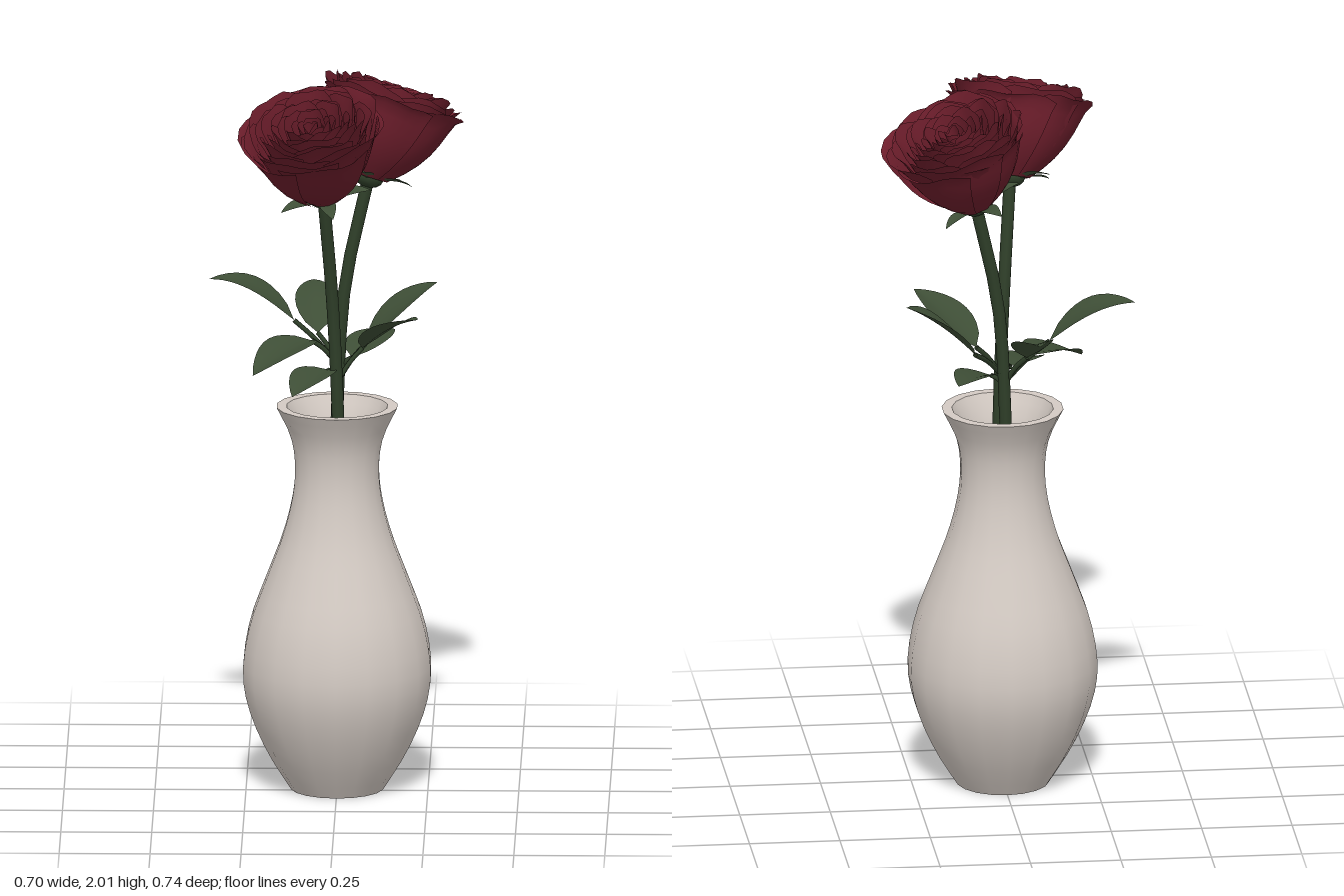
import * as THREE from 'three';
import { toCreasedNormals } from 'three/addons/utils/BufferGeometryUtils.js';

const V = (x, y, z) => new THREE.Vector3(x, y, z);
const UP = V(0, 1, 0);

const paint = (name, color, side = THREE.DoubleSide) => {
  const m = new THREE.MeshStandardMaterial({ color, side });
  m.name = name;
  return m;
};

function add(parent, name, geometry, material) {
  const mesh = new THREE.Mesh(geometry, material);
  mesh.name = name;
  parent.add(mesh);
  return mesh;
}

// Curved sheet: fn(u in -1..1, t in 0..1) gives each point
function sheet(fn, nu, nt) {
  const g = new THREE.PlaneGeometry(2, 1, nu, nt);
  const p = g.attributes.position;
  for (let i = 0; i < p.count; i++) {
    const v = fn(p.getX(i), p.getY(i) + 0.5);
    p.setXYZ(i, v.x, v.y, v.z);
  }
  g.computeVertexNormals();
  return g;
}

function tube(points, radius, sides = 8) {
  return new THREE.TubeGeometry(new THREE.CatmullRomCurve3(points), 14, radius, sides);
}

// Petal: cupped at the base, flared and curled at the rim
function petal(angle, halfWidth, R, h, curl, wave) {
  return sheet((u, t) => {
    const s = t * (1 - 0.13 * Math.abs(u) ** 3);
    const cup = 0.25 + 0.6 * (1 - (1 - s) ** 2.5) + 0.15 * s ** 6;
    const r = R * cup * (1 + 0.05 * u + 0.03 * wave * Math.sin(u * 5 + angle) * s * s);
    const a = angle + u * halfWidth * (0.8 + 0.2 * s);
    const y = h * (s - curl * s ** 8 + 0.02 * wave * Math.cos(u * 6 + angle) * s ** 3);
    return V(r * Math.sin(a), y, r * Math.cos(a));
  }, 8, 7);
}

// Leaf: pointed oval bent along a curve, folded up from the midrib
function leaf(base, tip, halfWidth, arch) {
  const mid = base.clone().lerp(tip, 0.5).addScaledVector(UP, arch);
  const curve = new THREE.QuadraticBezierCurve3(base, mid, tip);
  const side = tip.clone().sub(base).cross(UP).normalize();
  return sheet((u, t) => {
    const w = halfWidth * Math.max(0, Math.sin(Math.PI * t ** 0.75)) ** 0.85;
    return curve.getPoint(t).addScaledVector(side, u * w)
      .addScaledVector(UP, 0.25 * w * Math.abs(u));
  }, 4, 10);
}

function makeVase(material) {
  const spline = (pts, n) => new THREE.SplineCurve(pts.map(([x, y]) => new THREE.Vector2(x, y))).getPoints(n);
  const outer = spline([[0.128, 0], [0.195, 0.11], [0.245, 0.23], [0.262, 0.34], [0.242, 0.47],
    [0.195, 0.6], [0.15, 0.72], [0.123, 0.83], [0.117, 0.92], [0.13, 1.0], [0.168, 1.08]], 26);
  const inner = spline([[0.14, 1.08], [0.105, 1.0], [0.093, 0.9], [0.102, 0.8], [0.17, 0.6],
    [0.235, 0.34], [0.17, 0.12], [0.1, 0.06]], 18);
  const v = (x, y) => new THREE.Vector2(x, y);
  const profile = [v(0, 0.03), v(0.1, 0.03), v(0.112, 0), ...outer, ...inner, v(0, 0.055)];
  return toCreasedNormals(new THREE.LatheGeometry(profile, 18), 0.7);
}

export function createModel() {
  const model = new THREE.Group();
  const ceramic = paint('ceramic', 0xd3cac3);
  const red = paint('petal red', 0x6e1e2c);
  const leafGreen = paint('leaf green', 0x3e4e36);
  const stemGreen = paint('stem green', 0x2f3f29);

  const vase = add(model, 'vase', makeVase(ceramic), ceramic);
  vase.position.z = -0.03;

  // Petal rings from outside in: count, radius, height, rim curl
  const rings = [
    [5, 0.2, 0.25, 0.12], [5, 0.192, 0.255, 0.06], [6, 0.172, 0.255, 0.02], [6, 0.151, 0.258, 0],
    [6, 0.13, 0.26, 0], [5, 0.11, 0.26, 0], [5, 0.09, 0.258, 0], [5, 0.071, 0.255, 0],
    [4, 0.053, 0.252, 0], [3, 0.036, 0.25, 0], [2, 0.02, 0.245, 0],
  ];

  function rose(name, base, axis, turn) {
    const head = new THREE.Group();
    head.name = name;
    head.position.copy(base);
    head.quaternion.setFromUnitVectors(UP, axis.normalize());
    rings.forEach(([n, R, h, curl], k) => {
      for (let i = 0; i < n; i++) {
        const a = turn + k * 0.75 + (i * Math.PI * 2) / n + 0.12 * Math.sin(i * 7 + k * 3);
        const vary = 1 + 0.025 * Math.sin(i * 5 + k * 2 + turn);
        add(head, 'petal', petal(a, (Math.PI / n) * 1.28, R * vary, h * vary, curl, 1), red);
      }
    });
    // Green cup and sepals under the bloom
    const cup = add(head, 'calyx', new THREE.SphereGeometry(0.042, 12, 8), stemGreen);
    cup.scale.y = 0.7;
    for (let i = 0; i < 5; i++) {
      const a = turn + (i * Math.PI * 2) / 5;
      const at = (r, y) => V(r * Math.sin(a), y, r * Math.cos(a));
      add(head, 'sepal', leaf(at(0.025, -0.01), at(0.135, 0.01), 0.022, 0.02), leafGreen);
    }
    model.add(head);
  }

  const baseA = V(-0.035, 1.705, 0.105);
  const baseB = V(0.085, 1.705, -0.125);
  rose('frontRose', baseA, V(-0.14, 0.9, 0.36), 0.2);
  rose('backRose', baseB, V(0.28, 0.9, -0.2), 1.1);

  // Stems, continuing down inside the vase
  add(model, 'frontStem', tube([V(0.02, 0.15, -0.04), V(0.01, 0.7, 0.01), V(0.003, 1.08, 0.03),
    V(-0.012, 1.4, 0.045), baseA], 0.017), stemGreen);
  add(model, 'backStem', tube([V(-0.03, 0.15, -0.06), V(-0.01, 0.7, -0.08), V(0, 1.08, -0.1),
    V(0.02, 1.4, -0.105), baseB], 0.017), stemGreen);

  // Leaves: stem joint, leaf base, tip, half width, arch
  const leaves = [
    [[0, 1.18, -0.1], [-0.12, 1.3, -0.12], [-0.355, 1.41, -0.14], 0.08, 0.06],
    [[0, 1.18, -0.1], [-0.055, 1.26, -0.14], [-0.07, 1.36, -0.35], 0.058, 0.04],
    [[0, 1.18, -0.1], [-0.07, 1.25, -0.09], [-0.23, 1.19, 0.08], 0.075, 0.03],
    [[0, 1.15, 0.03], [-0.025, 1.19, 0.0], [-0.12, 1.155, 0.18], 0.06, 0.02],
    [[0, 1.16, 0.03], [0.08, 1.25, -0.07], [0.275, 1.41, -0.12], 0.08, 0.03],
    [[0, 1.16, 0.03], [0.07, 1.25, -0.005], [0.225, 1.37, 0.16], 0.065, 0.03],
    [[0, 1.16, -0.1], [0.04, 1.2, -0.1], [0.15, 1.235, -0.295], 0.06, 0.02],
  ];
  for (const [joint, base, tip, width, arch] of leaves) {
    const j = V(...joint), b = V(...base), t = V(...tip);
    const bend = j.clone().lerp(b, 0.5).addScaledVector(UP, 0.008);
    add(model, 'leafStalk', tube([j, bend, b], 0.007, 6), stemGreen);
    add(model, 'leaf', leaf(b, t, width, arch), leafGreen);
  }
  return model;
}
